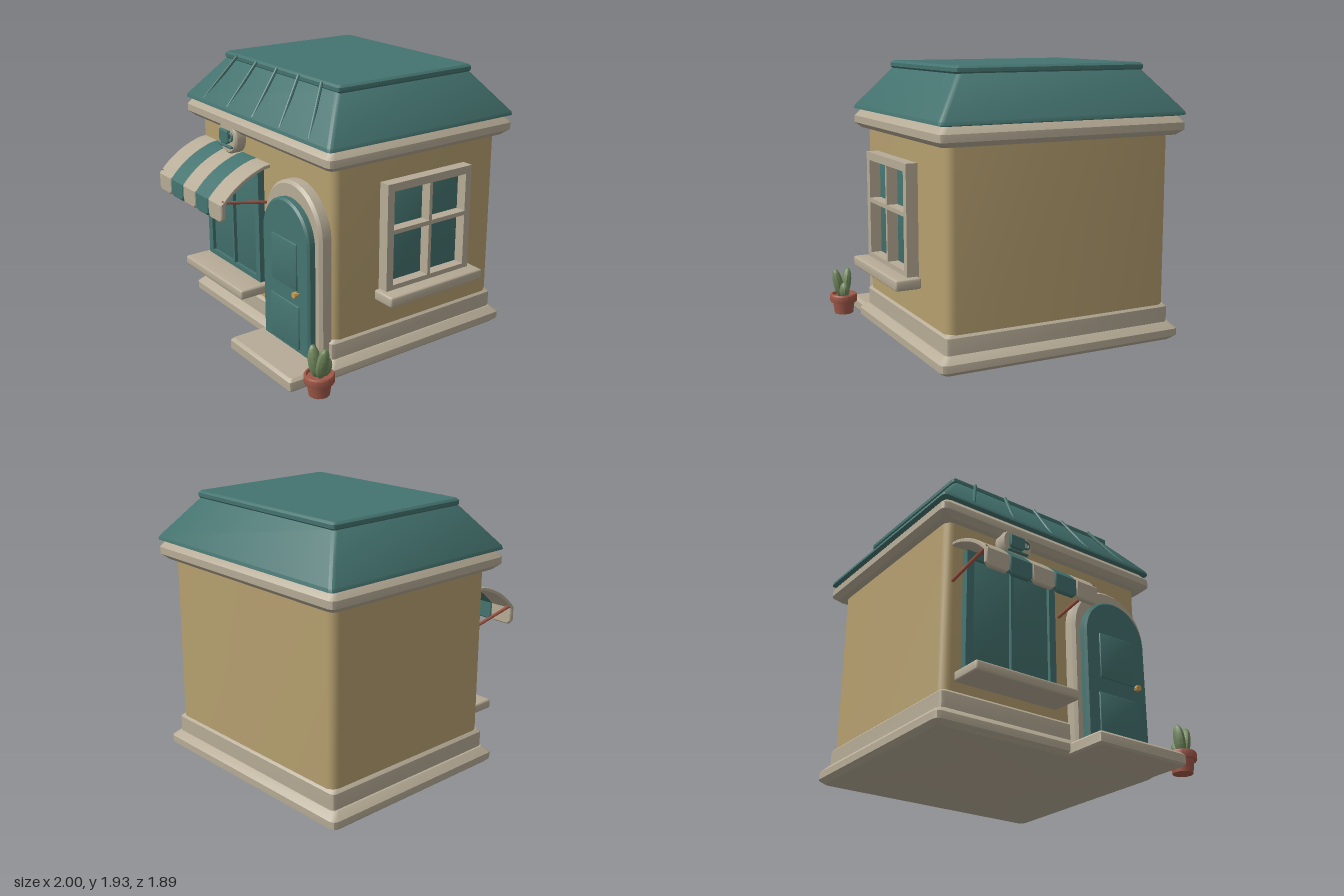
import * as THREE from 'three';
import { toCreasedNormals } from 'three/addons/utils/BufferGeometryUtils.js';
import { RoundedBoxGeometry } from 'three/addons/geometries/RoundedBoxGeometry.js';

const paint = (name, color) => {
  const m = new THREE.MeshStandardMaterial({ color });
  m.name = name;
  return m;
};

// Horizontal slab lofted from rounded rectangles; profile rows are [y, inset]
function slab(x0, x1, z0, z1, r, segs, profile) {
  const cx = (x0 + x1) / 2, cz = (z0 + z1) / 2;
  const pos = [], idx = [], n = 4 * (segs + 1);
  for (const [y, inset] of profile) {
    const hx = (x1 - x0) / 2 - inset - r, hz = (z1 - z0) / 2 - inset - r;
    for (let q = 0; q < 4; q++) for (let s = 0; s <= segs; s++) {
      const a = (q + s / segs) * Math.PI / 2;
      const sx = q === 0 || q === 3 ? 1 : -1, sz = q < 2 ? 1 : -1;
      pos.push(cx + sx * hx + r * Math.cos(a), y, cz + sz * hz + r * Math.sin(a));
    }
  }
  const rows = profile.length, low = rows * n, high = low + 1;
  pos.push(cx, profile[0][0], cz, cx, profile[rows - 1][0], cz);
  for (let i = 0; i < n; i++) {
    const j = (i + 1) % n, t = (rows - 1) * n;
    for (let k = 0; k < rows - 1; k++) {
      const a = k * n, b = a + n;
      idx.push(a + i, b + i, a + j, b + i, b + j, a + j);
    }
    idx.push(low, i, j, high, t + j, t + i);
  }
  const g = new THREE.BufferGeometry();
  g.setAttribute('position', new THREE.Float32BufferAttribute(pos, 3));
  g.setIndex(idx);
  return g;
}

function rect(Kind, x0, x1, y0, y1) {
  const p = new Kind();
  p.moveTo(x0, y0); p.lineTo(x1, y0); p.lineTo(x1, y1); p.lineTo(x0, y1); p.closePath();
  return p;
}

function archShape(cx, r, y0, spring) {
  const s = new THREE.Shape();
  s.moveTo(cx - r, y0);
  s.lineTo(cx + r, y0);
  s.lineTo(cx + r, spring);
  s.absarc(cx, spring, r, 0, Math.PI, false);
  s.closePath();
  return s;
}

// Extrusion between z0 and z1; the bevel stays inside the drawn outline
function extrude(shape, z0, z1, bevel = 0, curveSegments = 8) {
  const g = new THREE.ExtrudeGeometry(shape, {
    depth: z1 - z0 - 2 * bevel, curveSegments, bevelEnabled: bevel > 0,
    bevelThickness: bevel, bevelSize: bevel, bevelOffset: -bevel, bevelSegments: 1,
  });
  return g.translate(0, 0, z0 + bevel);
}

function box(x0, x1, y0, y1, z0, z1, r = 0.015) {
  return new RoundedBoxGeometry(x1 - x0, y1 - y0, z1 - z0, 2, r)
    .translate((x0 + x1) / 2, (y0 + y1) / 2, (z0 + z1) / 2);
}

function rod(a, b, r) {
  const d = b.clone().sub(a);
  const g = new THREE.CylinderGeometry(r, r, d.length(), 8);
  g.applyQuaternion(new THREE.Quaternion().setFromUnitVectors(new THREE.Vector3(0, 1, 0), d.normalize()));
  return g.translate((a.x + b.x) / 2, (a.y + b.y) / 2, (a.z + b.z) / 2);
}

export function createModel() {
  const teal = paint('teal', 0x44736f), cream = paint('cream', 0xb6ab96);
  const ochre = paint('ochre', 0xb59f6f), clay = paint('terracotta', 0xa05848);
  const green = paint('cactusGreen', 0x70875c), brass = paint('brass', 0xc79c50);
  const V = (x, y, z) => new THREE.Vector3(x, y, z);
  const model = new THREE.Group();
  model.name = 'cafe';
  const add = (name, geometry, material) => {
    const m = new THREE.Mesh(toCreasedNormals(geometry, 0.6), material);
    m.name = name;
    model.add(m);
    return m;
  };

  // Walls, stone base and cornice
  add('basePlinth', slab(-0.995, 0.82, -0.925, 0.62, 0.04, 2,
    [[0, 0.035], [0.03, 0], [0.08, 0], [0.125, 0.045]]), cream);
  add('upperPlinth', slab(-0.935, 0.765, -0.875, 0.57, 0.03, 2,
    [[0.12, 0], [0.235, 0], [0.255, 0.02]]), cream);
  add('walls', slab(-0.915, 0.75, -0.86, 0.55, 0.06, 4, [[0.24, 0], [1.46, 0]]), ochre);
  add('cornice', slab(-1, 0.83, -0.94, 0.635, 0.04, 2,
    [[1.445, 0.04], [1.48, 0], [1.53, 0], [1.575, 0.035]]), cream);

  // Hipped roof with a flat cap and front ribs
  add('roof', slab(-1, 0.83, -0.945, 0.635, 0.03, 2,
    [[1.575, 0.03], [1.582, 0], [1.605, 0.005], [1.885, 0.225]]), teal);
  add('roofCap', slab(-0.785, 0.62, -0.73, 0.41, 0.02, 2,
    [[1.875, 0.012], [1.89, 0], [1.915, 0], [1.93, 0.015]]), teal);
  for (let i = -2; i <= 2; i++) {
    add('roofRib', rod(V(-0.085 + i * 0.334, 1.61, 0.615), V(-0.085 + i * 0.26, 1.92, 0.41), 0.012), teal);
  }

  // Front window, double casement
  const casement = rect(THREE.Shape, -0.785, -0.06, 0.395, 1.25);
  casement.holes.push(rect(THREE.Path, -0.73, -0.432, 0.43, 1.2), rect(THREE.Path, -0.41, -0.112, 0.43, 1.2));
  add('frontWindowFrame', extrude(casement, 0.54, 0.6), teal);
  add('frontWindowGlass', box(-0.76, -0.08, 0.41, 1.23, 0.54, 0.575, 0.002), teal);
  add('frontSill', box(-0.83, -0.02, 0.32, 0.39, 0.53, 0.785), cream);

  // Side window with four panes
  const sash = rect(THREE.Shape, -0.21, 0.515, 0.56, 1.31);
  for (const [a, b] of [[-0.155, 0.145], [0.17, 0.465]]) {
    for (const [c, d] of [[0.6, 0.96], [0.99, 1.255]]) sash.holes.push(rect(THREE.Path, a, b, c, d));
  }
  add('sideWindowFrame', extrude(sash, 0.798, 0.88).rotateY(Math.PI / 2), cream);
  add('sideWindowGlass', box(0.788, 0.803, 0.575, 1.28, -0.49, 0.185, 0.002), teal);
  add('sideSill', box(0.8, 0.98, 0.493, 0.567, -0.565, 0.25), cream);

  // Door, surround, panels, knob and step
  add('doorSurround', extrude(archShape(0.4, 0.33, 0.1, 0.96), 0.53, 0.635, 0.02), cream);
  add('door', extrude(archShape(0.4, 0.272, 0.115, 0.91), 0.6, 0.69, 0.015), teal);
  add('upperDoorPanel', box(0.25, 0.545, 0.58, 0.91, 0.67, 0.7, 0.006), teal);
  add('lowerDoorPanel', box(0.23, 0.565, 0.155, 0.47, 0.67, 0.7, 0.006), teal);
  add('doorKnobStem', rod(V(0.56, 0.565, 0.68), V(0.56, 0.565, 0.715), 0.008), brass);
  add('doorKnob', rod(V(0.56, 0.565, 0.71), V(0.56, 0.565, 0.735), 0.022), brass);
  add('doorStep', slab(0.025, 0.78, 0.5, 0.915, 0.015, 2,
    [[0, 0.015], [0.015, 0], [0.075, 0], [0.095, 0.02]]), cream);

  // Striped awning: curved canopy strips with hanging flaps
  const w = 0.18, left = -0.875;
  const canopy = new THREE.Shape();
  canopy.moveTo(0.55, 1.295);
  canopy.lineTo(0.6, 1.29);
  canopy.quadraticCurveTo(0.81, 1.23, 0.94, 1.075);
  canopy.lineTo(0.915, 1.065);
  canopy.quadraticCurveTo(0.79, 1.205, 0.6, 1.263);
  canopy.lineTo(0.55, 1.27);
  canopy.closePath();
  for (let i = 0; i < 5; i++) {
    const x = left + i * w, mat = i % 2 ? teal : cream;
    add('awningStrip', extrude(canopy, -x - w, -x, 0.004).rotateY(-Math.PI / 2), mat);
    const flap = new THREE.Shape();
    flap.moveTo(x, 1.08);
    flap.lineTo(x, 0.975);
    flap.lineTo(x + 0.025, 0.947);
    flap.lineTo(x + w - 0.025, 0.947);
    flap.lineTo(x + w, 0.975);
    flap.lineTo(x + w, 1.08);
    flap.closePath();
    add('awningFlap', extrude(flap, 0.908, 0.944, 0.008), mat);
  }
  for (const x of [-0.86, 0.01]) {
    add('awningArm', rod(V(x, 1.015, 0.54), V(x, 1.09, 0.925), 0.012), clay);
  }

  // Round hanging sign with a cup and saucer
  const disc = new THREE.Shape();
  disc.absarc(-0.405, 1.405, 0.125, 0, Math.PI * 2, false);
  add('signDisc', extrude(disc, 0.54, 0.635, 0.014, 12), cream);
  const cup = new THREE.Shape();
  cup.moveTo(-0.475, 1.455);
  cup.lineTo(-0.475, 1.39);
  cup.quadraticCurveTo(-0.473, 1.36, -0.445, 1.36);
  cup.lineTo(-0.385, 1.36);
  cup.quadraticCurveTo(-0.357, 1.36, -0.355, 1.39);
  cup.lineTo(-0.355, 1.455);
  cup.closePath();
  add('signCup', extrude(cup, 0.625, 0.66, 0.005), teal);
  add('signCupHandle', new THREE.TorusGeometry(0.028, 0.008, 6, 14)
    .translate(-0.342, 1.415, 0.645), teal);
  add('signSaucer', box(-0.49, -0.325, 1.332, 1.348, 0.625, 0.655, 0.005), teal);

  // Potted cactus
  const profile = [[0, 0.005], [0.07, 0.005], [0.083, 0.095], [0.1, 0.095], [0.103, 0.105],
    [0.103, 0.145], [0.097, 0.155], [0.085, 0.155], [0.08, 0.135], [0, 0.135]];
  add('pot', new THREE.LatheGeometry(profile.map(p => new THREE.Vector2(...p)), 16)
    .translate(0.893, 0, 0.765), clay);
  for (const [dx, dz, tilt, lean, len] of [
    [-0.01, 0.015, 0.16, 0.02, 0.225], [0.015, 0.005, -0.22, -0.04, 0.23], [0.005, -0.03, -0.04, -0.25, 0.13]]) {
    const lobe = new THREE.SphereGeometry(1, 10, 10).scale(0.038, len / 2, 0.045)
      .translate(0, len / 2, 0).rotateX(lean).rotateZ(tilt).translate(0.893 + dx, 0.125, 0.765 + dz);
    add('cactusLobe', lobe, green);
  }
  return model;
}
